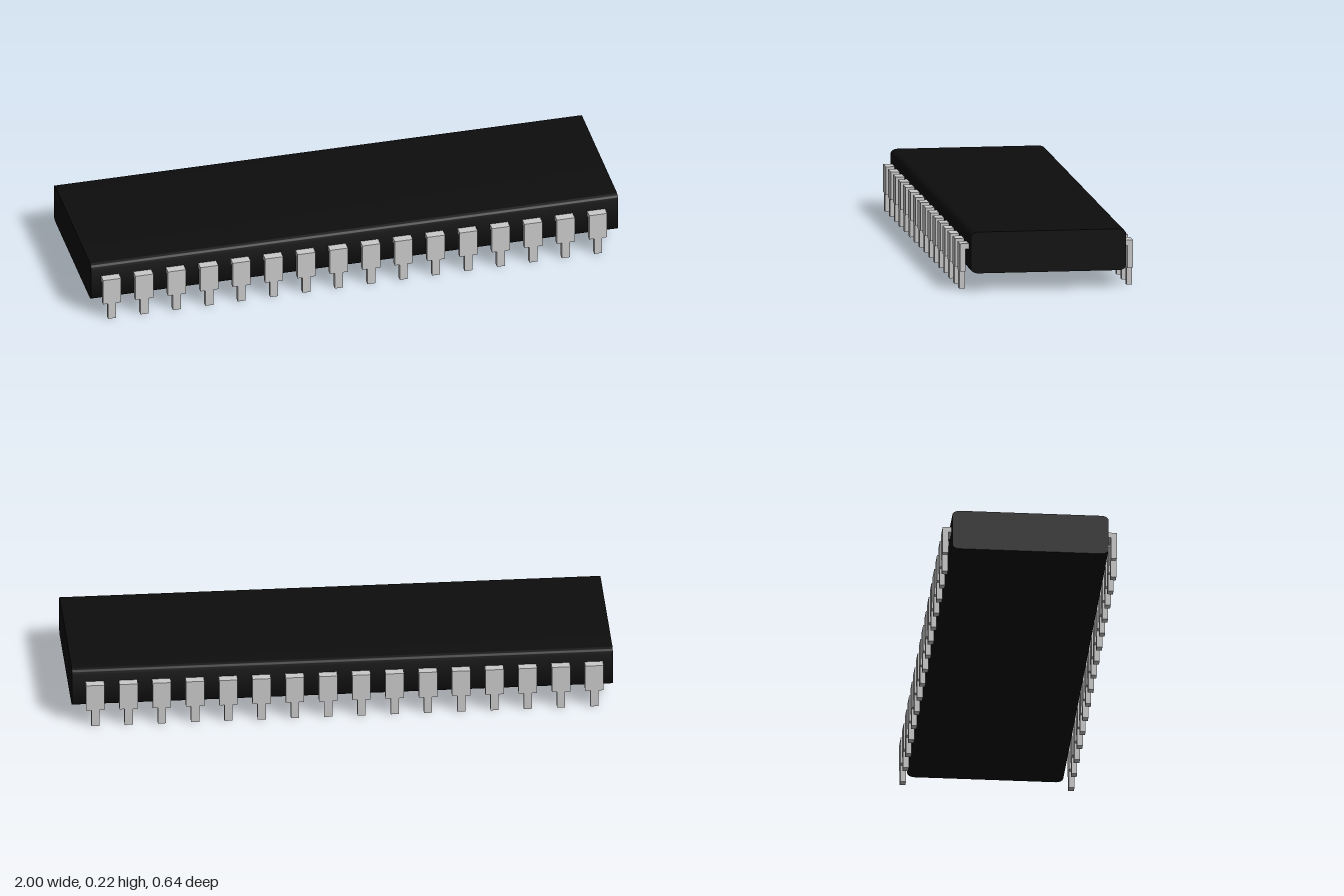
import * as THREE from 'three';
import { toCreasedNormals } from 'three/addons/utils/BufferGeometryUtils.js';

const PINS = 16, PITCH = 0.123, FIRST_X = -0.929;

// Rectangle with elliptical corners, centred on the origin
function roundedSection(w, h, rx, ry) {
  const s = new THREE.Shape();
  const x = w / 2 - rx, y = h / 2 - ry, q = Math.PI / 2;
  s.absellipse(x, y, rx, ry, 0, q);
  s.absellipse(-x, y, rx, ry, q, 2 * q);
  s.absellipse(-x, -y, rx, ry, 2 * q, 3 * q);
  s.absellipse(x, -y, rx, ry, 3 * q, 4 * q);
  s.closePath();
  return s;
}

// Flat blade: wide shoulder on top, narrow leg below
function bladeGeometry() {
  const s = new THREE.Shape([
    [-0.015, 0], [0.015, 0], [0.015, 0.066], [0.034, 0.066],
    [0.034, 0.17], [-0.034, 0.17], [-0.034, 0.066], [-0.015, 0.066],
  ].map(([x, y]) => new THREE.Vector2(x, y)));
  return new THREE.ExtrudeGeometry(s, { depth: 0.021, bevelEnabled: false }).translate(0, 0, 0.301);
}

export function createModel() {
  const model = new THREE.Group();
  const black = new THREE.MeshStandardMaterial({ color: 0x0d0d0d });
  const metal = new THREE.MeshStandardMaterial({ color: 0xcccccc });

  // Package body, extruded along its length
  const bodyGeo = new THREE.ExtrudeGeometry(roundedSection(0.578, 0.154, 0.028, 0.018), {
    depth: 2, bevelEnabled: false, curveSegments: 8,
  });
  bodyGeo.translate(0, 0, -1).rotateY(Math.PI / 2).translate(0, 0.143, 0);
  const body = new THREE.Mesh(toCreasedNormals(bodyGeo, 0.6), black);
  body.name = 'body';
  model.add(body);

  // Pins: a short shelf leaving the body and a blade bent downwards
  const blade = bladeGeometry();
  const shelf = new THREE.BoxGeometry(0.068, 0.02, 0.026).translate(0, 0.16, 0.288);
  for (const side of [1, -1]) {
    const row = new THREE.Group();
    row.name = side > 0 ? 'frontPins' : 'backPins';
    for (let i = 0; i < PINS; i++) {
      const pin = new THREE.Group();
      pin.name = 'pin';
      const parts = { pinBlade: blade, pinShelf: shelf };
      for (const name in parts) {
        const mesh = new THREE.Mesh(parts[name], metal);
        mesh.name = name;
        pin.add(mesh);
      }
      pin.position.x = FIRST_X + i * PITCH;
      if (side < 0) pin.rotation.y = Math.PI;
      row.add(pin);
    }
    model.add(row);
  }
  return model;
}
